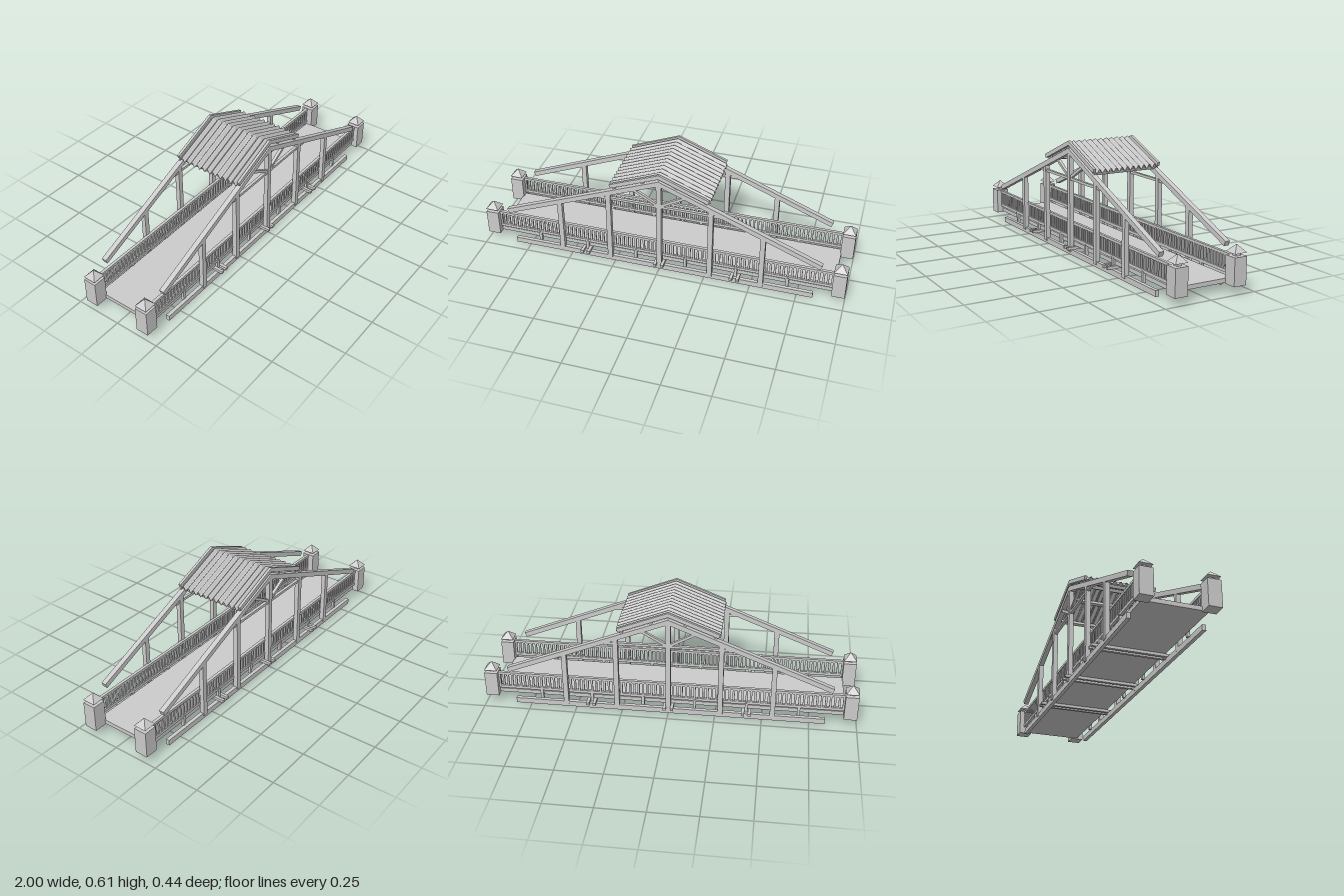
import * as THREE from 'three';

const mat = new THREE.MeshStandardMaterial({ color: 0xcccccc, flatShading: true });
const smooth = new THREE.MeshStandardMaterial({ color: 0xcccccc, side: THREE.DoubleSide });

export function createModel() {
  const model = new THREE.Group();
  const SLOPE = 0.405;

  const add = (parent, name, geo, x, y, z, m = mat) => {
    const mesh = new THREE.Mesh(geo, m);
    mesh.name = name;
    mesh.position.set(x, y, z);
    parent.add(mesh);
    return mesh;
  };
  const box = (parent, name, w, h, d, x, y, z) =>
    add(parent, name, new THREE.BoxGeometry(w, h, d), x, y, z);
  // square timber between two points in the xy plane
  const timber = (parent, name, x0, y0, x1, y1, t, d, z) => {
    const len = Math.hypot(x1 - x0, y1 - y0);
    const b = box(parent, name, len, t, d, (x0 + x1) / 2, (y0 + y1) / 2, z);
    b.rotation.z = Math.atan2(y1 - y0, x1 - x0);
    return b;
  };
  // bent member symmetric about x = 0, mitred at the apex and cut square at its ends
  const gable = (parent, name, apexY, endX, t, d, z) => {
    const a = Math.atan(SLOPE), h = t / 2 / Math.cos(a);
    const endY = apexY - SLOPE * endX;
    const dx = Math.sin(a) * t / 2, dy = Math.cos(a) * t / 2;
    const s = new THREE.Shape([
      [0, apexY + h], [-endX + -dx, endY + dy], [-endX + dx, endY - dy],
      [0, apexY - h], [endX - dx, endY - dy], [endX + dx, endY + dy],
    ].map(p => new THREE.Vector2(...p)));
    const geo = new THREE.ExtrudeGeometry(s, { depth: d, bevelEnabled: false });
    add(parent, name, geo, 0, 0, z - d / 2);
  };

  // deck and cross beams
  box(model, 'deck', 1.87, 0.022, 0.33, 0, 0.056, 0);
  for (const x of [-0.435, -0.4, -0.02, 0.02, 0.4, 0.435])
    box(model, 'crossBeam', 0.016, 0.015, 0.44, x, 0.0375, 0);

  for (const s of [-1, 1]) {
    // lower longitudinal beam
    box(model, 'lowerBeam', 1.67, 0.03, 0.02, 0, 0.015, s * 0.185);

    // railing with balusters and short studs
    const railing = new THREE.Group();
    railing.name = 'railing';
    model.add(railing);
    box(railing, 'topRail', 1.87, 0.014, 0.016, 0, 0.17, s * 0.169);
    box(railing, 'bottomRail', 1.87, 0.016, 0.014, 0, 0.086, s * 0.169);
    for (let i = -40; i <= 40; i++)
      box(railing, 'baluster', 0.011, 0.072, 0.009, i * 0.02315, 0.129, s * 0.169);
    for (const x of [-0.694, -0.417, -0.139, 0.139, 0.417, 0.694])
      box(railing, 'stud', 0.016, 0.06, 0.016, x, 0.055, s * 0.17);

    // side truss
    const truss = new THREE.Group();
    truss.name = 'truss';
    model.add(truss);
    gable(truss, 'mainRafter', 0.561, 0.865, 0.027, 0.027, s * 0.1865);
    for (const x of [-0.556, -0.278, 0, 0.278, 0.556]) {
      const top = 0.561 - SLOPE * Math.abs(x);
      box(truss, 'trussPost', 0.027, top - 0.015, 0.025, x, (top + 0.015) / 2, s * 0.1865);
    }
    box(truss, 'tieBeam', 0.71, 0.014, 0.016, 0, 0.413, s * 0.1865);
    for (const m of [-1, 1])
      timber(truss, 'brace', 0, 0.415, m * 0.145, 0.498, 0.015, 0.016, s * 0.1865);
    gable(truss, 'bargeBoard', 0.602, 0.265, 0.022, 0.014, s * 0.1925);

    // end posts with pyramid caps
    for (const m of [-1, 1]) {
      const post = new THREE.Group();
      post.name = 'endPost';
      post.position.set(m * 0.965, 0, s * 0.165);
      model.add(post);
      box(post, 'postBody', 0.07, 0.14, 0.07, 0, 0.11, 0);
      box(post, 'postNeck', 0.026, 0.02, 0.026, 0, 0.188, 0);
      const cap = new THREE.ConeGeometry(0.035 * Math.SQRT2, 0.038, 4);
      cap.rotateY(Math.PI / 4);
      add(post, 'postCap', cap, 0, 0.216, 0);
    }
  }

  // corrugated roof, one closed wavy section extruded down each slope
  const roof = new THREE.Group();
  roof.name = 'roof';
  model.add(roof);
  const PITCH = 0.033, HALF = 0.184, N = 176;
  const wave = i => {
    const z = -HALF + (2 * HALF * i) / N;
    return [z, 0.0095 * Math.cos((z / PITCH) * Math.PI * 2)];
  };
  const section = new THREE.Shape();
  for (let i = 0; i <= N; i++) {
    const [z, y] = wave(i);
    i ? section.lineTo(z, y + 0.002) : section.moveTo(z, y + 0.002);
  }
  for (let i = N; i >= 0; i--) {
    const [z, y] = wave(i);
    section.lineTo(z, y - 0.002);
  }
  const run = 0.272;
  for (const m of [-1, 1]) {
    const geo = new THREE.ExtrudeGeometry(section, { depth: run, bevelEnabled: false });
    geo.rotateY(m * Math.PI / 2);
    // shear the sheet along the roof slope
    const p = geo.attributes.position;
    for (let i = 0; i < p.count; i++) p.setY(i, p.getY(i) + 0.602 - SLOPE * Math.abs(p.getX(i)));
    geo.computeVertexNormals();
    add(roof, 'roofSheet', geo, 0, 0, 0, smooth);
    // purlins resting on the rafters
    for (const x of [0.09, 0.245]) {
      const y = 0.561 - SLOPE * x + 0.02;
      const b = box(roof, 'purlin', 0.018, 0.018, 0.372, m * x, y, 0);
      b.rotation.z = -m * Math.atan(SLOPE);
    }
  }
  return model;
}
